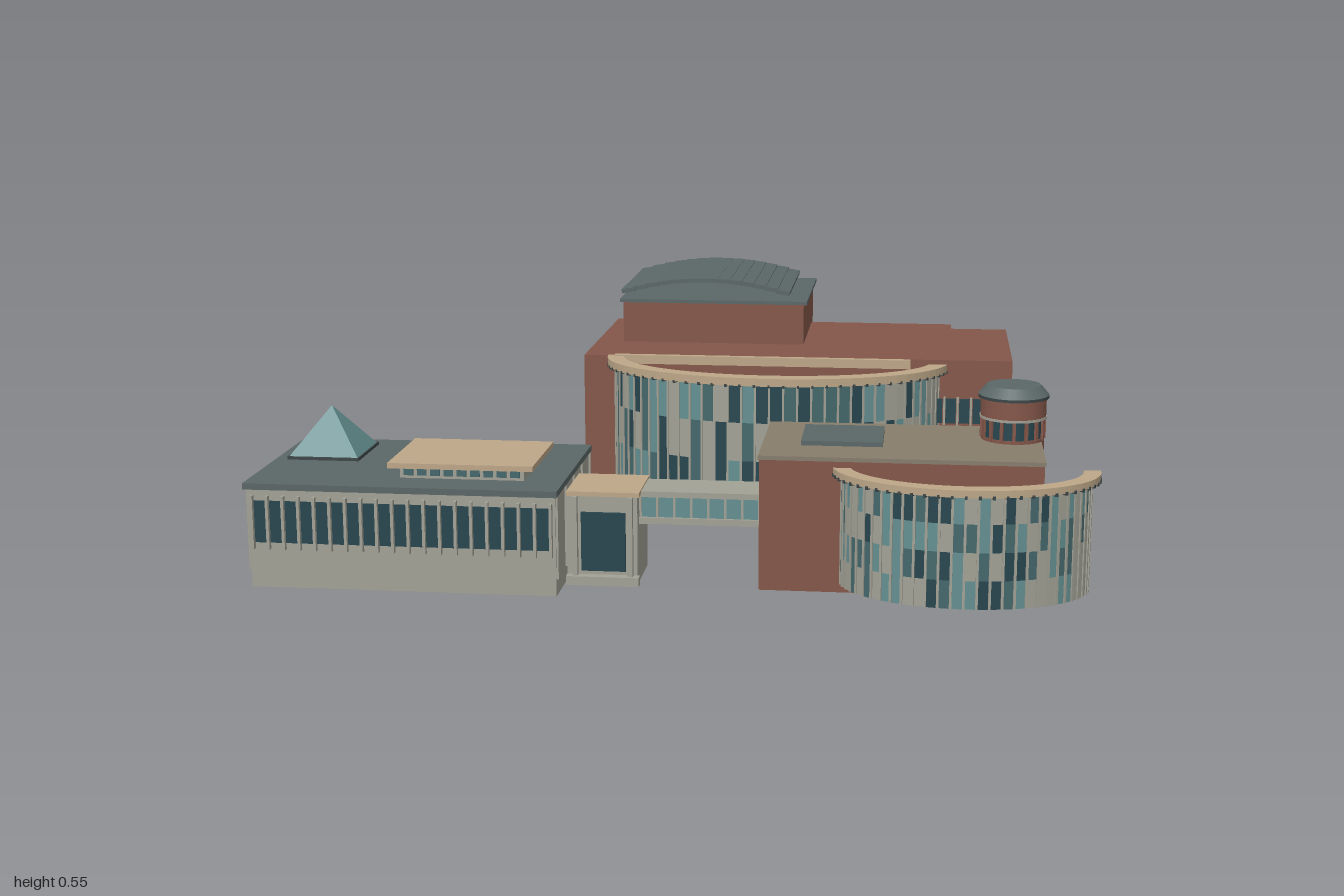
import * as THREE from 'three';
import { mergeGeometries } from 'three/addons/utils/BufferGeometryUtils.js';

const mat = (name, color) => Object.assign(new THREE.MeshStandardMaterial({ color }), { name });

export function createModel() {
  const root = new THREE.Group();
  const brick = mat('brick', 0x85574a);
  const tan = mat('tan stone', 0xbda788);
  const slate = mat('slate roof', 0x5b6767);
  const concrete = mat('concrete', 0xa2a296);
  const gravel = mat('gravel roof', 0x877d6c);
  const darkGlass = mat('dark glass', 0x28464f);
  const midGlass = mat('mid glass', 0x45686c);
  const teal = mat('teal glass', 0x659092);
  const frame = mat('dark frame', 0x3c4647);

  const add = (name, geo, material, parent = root) => {
    const mesh = new THREE.Mesh(geo, material);
    mesh.name = name;
    parent.add(mesh);
    return mesh;
  };
  const group = (name) => {
    const g = new THREE.Group();
    g.name = name;
    root.add(g);
    return g;
  };
  // box geometry from its limits on each axis
  const bx = (x0, x1, y0, y1, z0, z1) =>
    new THREE.BoxGeometry(x1 - x0, y1 - y0, z1 - z0).translate((x0 + x1) / 2, (y0 + y1) / 2, (z0 + z1) / 2);
  // evenly spaced boxes of width w along x
  const rowX = (n, x0, x1, w, y0, y1, z0, z1) =>
    mergeGeometries(Array.from({ length: n }, (_, i) => {
      const x = x0 + w / 2 + ((x1 - x0 - w) * i) / (n - 1);
      return bx(x - w / 2, x + w / 2, y0, y1, z0, z1);
    }));

  let seed = 7;
  const rand = () => (seed = (seed * 16807) % 2147483647) / 2147483647;

  // elliptical curtain wall with a flat curved cornice on top
  function curvedWall(name, { cx, cz, rx, rz, t0, t1, n, rows, y0, y1, top, over, inner }) {
    const g = group(name);
    const at = (t, o = 0) => [cx + (rx + o) * Math.cos(t), cz + (rz + o) * Math.sin(t)];
    const palette = [[concrete, []], [darkGlass, []], [midGlass, []], [teal, []]];
    const posts = [], brackets = [];
    const h = (y1 - y0) / rows;
    for (let i = 0; i <= n; i++) {
      const t = t0 + ((t1 - t0) * i) / n;
      const [ax, az] = at(t);
      const yaw = Math.atan2(rx * Math.sin(t), rz * Math.cos(t));
      const place = (geo, x, z, a) => geo.rotateY(-a).translate(x, 0, z);
      posts.push(place(bx(-0.008, 0.008, y0, y1, -0.003, 0.003), ax, az, yaw));
      const [ox, oz] = at(t, over * 0.6);
      brackets.push(place(bx(-0.012, 0.012, y1 - 0.004, y1 + 0.004, -0.003, 0.003), ox, oz, yaw));
      if (i === n) break;
      const [ex, ez] = at(t + (t1 - t0) / n);
      const len = Math.hypot(ex - ax, ez - az);
      const a = Math.atan2(ez - az, ex - ax);
      for (let r = 0; r < rows; r++) {
        const k = rand();
        const pick = k < 0.3 ? 0 : k < 0.53 ? 1 : k < 0.73 ? 2 : 3;
        palette[pick][1].push(
          place(bx(-len / 2, len / 2, y0 + r * h, y0 + (r + 1) * h, -0.005, 0.005), (ax + ex) / 2, (az + ez) / 2, a));
      }
    }
    palette.forEach(([m, list]) => list.length && add(m.name + ' panels', mergeGeometries(list), m, g));
    add('mullions', mergeGeometries(posts), concrete, g);
    add('corniceBrackets', mergeGeometries(brackets), frame, g);
    // cornice band drawn in plan, then laid flat
    const pts = [];
    for (const [o, dir] of [[over, 1], [-inner, -1]]) {
      for (let i = 0; i <= 40; i++) {
        const u = dir > 0 ? i / 40 : 1 - i / 40;
        const [x, z] = at(t0 + (t1 - t0) * u, o);
        pts.push(new THREE.Vector2(x, -z));
      }
    }
    const geo = new THREE.ExtrudeGeometry(new THREE.Shape(pts), { depth: top - y1, bevelEnabled: false });
    add('cornice', geo.rotateX(-Math.PI / 2).translate(0, y1, 0), tan, g);
  }

  // ---- Large hall ----
  const hall = group('largeHall');
  add('mainBlock', bx(-0.39, 0.67, 0, 0.355, -0.92, -0.27), brick, hall);
  add('sideBlock', bx(0.55, 0.835, 0, 0.37, -0.75, -0.22), brick, hall);
  add('stageTower', bx(-0.31, 0.23, 0, 0.475, -0.98, -0.505), brick, hall);
  add('towerRoof', bx(-0.32, 0.24, 0.475, 0.485, -0.99, -0.498), slate, hall);
  add('parapet', bx(-0.3, 0.64, 0.335, 0.36, -0.275, -0.255), tan, hall);
  add('sideWindows', rowX(6, 0.575, 0.795, 0.029, 0.19, 0.26, -0.222, -0.213), darkGlass, hall);
  add('sideWindowBars', rowX(7, 0.57, 0.8, 0.006, 0.185, 0.265, -0.222, -0.21), concrete, hall);

  // arched roof made of overlapping slats
  const slats = [];
  const arch = (x) => 0.503 + 0.039 * (1 - ((x + 0.065) / 0.25) ** 2);
  for (let i = 0; i < 14; i++) {
    const xa = -0.315 + (i * 0.5) / 14, xb = xa + 0.5 / 14;
    const slope = Math.atan2(arch(xb) - arch(xa), xb - xa);
    slats.push(bx(-0.02, 0.02, -0.006, 0.006, -0.98, -0.515).rotateZ(slope * 0.6)
      .translate((xa + xb) / 2, (arch(xa) + arch(xb)) / 2, 0));
  }
  add('archedRoof', mergeGeometries(slats), slate, hall);

  curvedWall('foyerWall', {
    cx: 0.17, cz: -0.27, rx: 0.462, rz: 0.285, t0: Math.PI, t1: 0, n: 38,
    rows: 3, y0: 0.012, y1: 0.335, top: 0.357, over: 0.027, inner: 0.022,
  });

  // entrance ramp, sloping down to the front
  const ramp = bx(-0.155, 0.565, 0, 0.024, 0.02, 0.115);
  const rp = ramp.attributes.position;
  for (let i = 0; i < rp.count; i++) if (rp.getZ(i) > 0.1 && rp.getY(i) > 0.01) rp.setY(i, 0.003);
  ramp.computeVertexNormals();
  add('entranceRamp', ramp, tan);

  // ---- Small hall ----
  const small = group('smallHall');
  add('smallBlock', bx(0.21, 0.87, 0, 0.317, 0.44, 0.81), brick, small);
  add('smallRoof', bx(0.207, 0.873, 0.317, 0.327, 0.437, 0.813), gravel, small);
  add('roofHatch', bx(0.3, 0.495, 0.327, 0.338, 0.51, 0.695), slate, small);
  add('rearWindows', rowX(7, 0.28, 0.55, 0.034, 0.18, 0.25, 0.433, 0.442), darkGlass, small);
  add('rearWindowBars', rowX(8, 0.276, 0.554, 0.005, 0.178, 0.252, 0.432, 0.442), frame, small);

  // round stair turret
  const turret = group('turret');
  turret.position.set(0.805, 0, 0.56);
  const drum = (name, r0, r1, y0, y1, m) =>
    add(name, new THREE.CylinderGeometry(r1, r0, y1 - y0, 32).translate(0, (y0 + y1) / 2, 0), m, turret);
  drum('turretShaft', 0.076, 0.076, 0, 0.335, brick);
  drum('turretGlass', 0.073, 0.073, 0.335, 0.382, darkGlass);
  drum('turretBand', 0.079, 0.079, 0.382, 0.43, brick);
  drum('turretStringCourse', 0.081, 0.081, 0.38, 0.386, concrete);
  drum('turretEaves', 0.085, 0.085, 0.43, 0.437, frame);
  drum('turretRoof', 0.085, 0.065, 0.437, 0.46, slate);
  const tPosts = [];
  for (let i = 0; i < 16; i++)
    tPosts.push(bx(0.068, 0.079, 0.33, 0.384, -0.004, 0.004).rotateY((i * Math.PI) / 8));
  add('turretPosts', mergeGeometries(tPosts), brick, turret);

  curvedWall('rotundaWall', {
    cx: 0.69, cz: 0.78, rx: 0.285, rz: 0.188, t0: Math.PI - 0.14, t1: -0.05, n: 30,
    rows: 4, y0: 0.02, y1: 0.285, top: 0.302, over: 0.025, inner: 0.015,
  });

  // ---- Gallery wing ----
  const wing = group('galleryWing');
  add('wingWalls', bx(-0.99, -0.255, 0, 0.24, 0.45, 0.915), concrete, wing);
  add('wingRoof', bx(-1, -0.25, 0.24, 0.255, 0.44, 0.925), slate, wing);
  for (const [side, z0, z1, f0, f1] of [['front', 0.91, 0.917, 0.91, 0.928], ['rear', 0.448, 0.455, 0.437, 0.455]]) {
    add(side + 'Windows', bx(-0.98, -0.265, 0.11, 0.212, z0, z1), darkGlass, wing);
    add(side + 'Fins', rowX(20, -0.984, -0.262, 0.007, 0.095, 0.225, f0, f1), concrete, wing);
  }
  const pilasters = [];
  for (let i = 0; i < 5; i++) {
    const z = 0.455 + i * 0.113;
    pilasters.push(bx(-0.997, -0.25, 0.04, 0.24, z - 0.004, z + 0.004));
  }
  add('endPilasters', mergeGeometries(pilasters), concrete, wing);

  // rear entrance with canopy and step
  add('rearDoors', bx(-0.76, -0.48, 0.015, 0.135, 0.445, 0.452), darkGlass, wing);
  add('rearCanopy', bx(-0.78, -0.465, 0.138, 0.152, 0.39, 0.45), tan, wing);
  add('rearStep', bx(-0.835, -0.415, 0, 0.015, 0.288, 0.425), tan, wing);

  // glass pyramid skylight
  add('pyramidCurb', bx(-0.97, -0.79, 0.255, 0.262, 0.495, 0.68), frame, wing);
  add('pyramid', new THREE.ConeGeometry(0.122, 0.113, 4, 1).toNonIndexed().rotateY(Math.PI / 4)
    .translate(-0.88, 0.3185, 0.5875), teal, wing).geometry.computeVertexNormals();

  // raised roof lantern
  add('lanternGlass', bx(-0.645, -0.345, 0.255, 0.285, 0.605, 0.83), concrete, wing);
  add('lanternWindows', rowX(9, -0.635, -0.355, 0.023, 0.262, 0.278, 0.602, 0.833), midGlass, wing);
  add('lanternRoof', bx(-0.67, -0.32, 0.282, 0.295, 0.585, 0.85), tan, wing);

  // ---- Entrance lobby and bridge ----
  const link = group('link');
  add('lobby', bx(-0.25, -0.08, 0, 0.215, 0.63, 0.8), concrete, link);
  add('lobbyRoof', bx(-0.25, -0.075, 0.215, 0.226, 0.625, 0.805), tan, link);
  add('lobbyStep', bx(-0.25, -0.075, 0, 0.022, 0.8, 0.822), concrete, link);
  add('lobbyWindow', bx(-0.215, -0.108, 0.032, 0.176, 0.798, 0.806), darkGlass, link);
  add('lobbyJambs', rowX(2, -0.235, -0.09, 0.012, 0, 0.215, 0.8, 0.815), concrete, link);
  add('bridgeFloor', bx(-0.08, 0.21, 0.142, 0.158, 0.645, 0.77), concrete, link);
  add('bridgeGlass', bx(-0.08, 0.21, 0.158, 0.208, 0.652, 0.763), teal, link);
  add('bridgePosts', rowX(8, -0.08, 0.21, 0.006, 0.158, 0.208, 0.648, 0.767), concrete, link);
  add('bridgeRoof', bx(-0.08, 0.21, 0.208, 0.222, 0.645, 0.77), concrete, link);

  return root;
}
